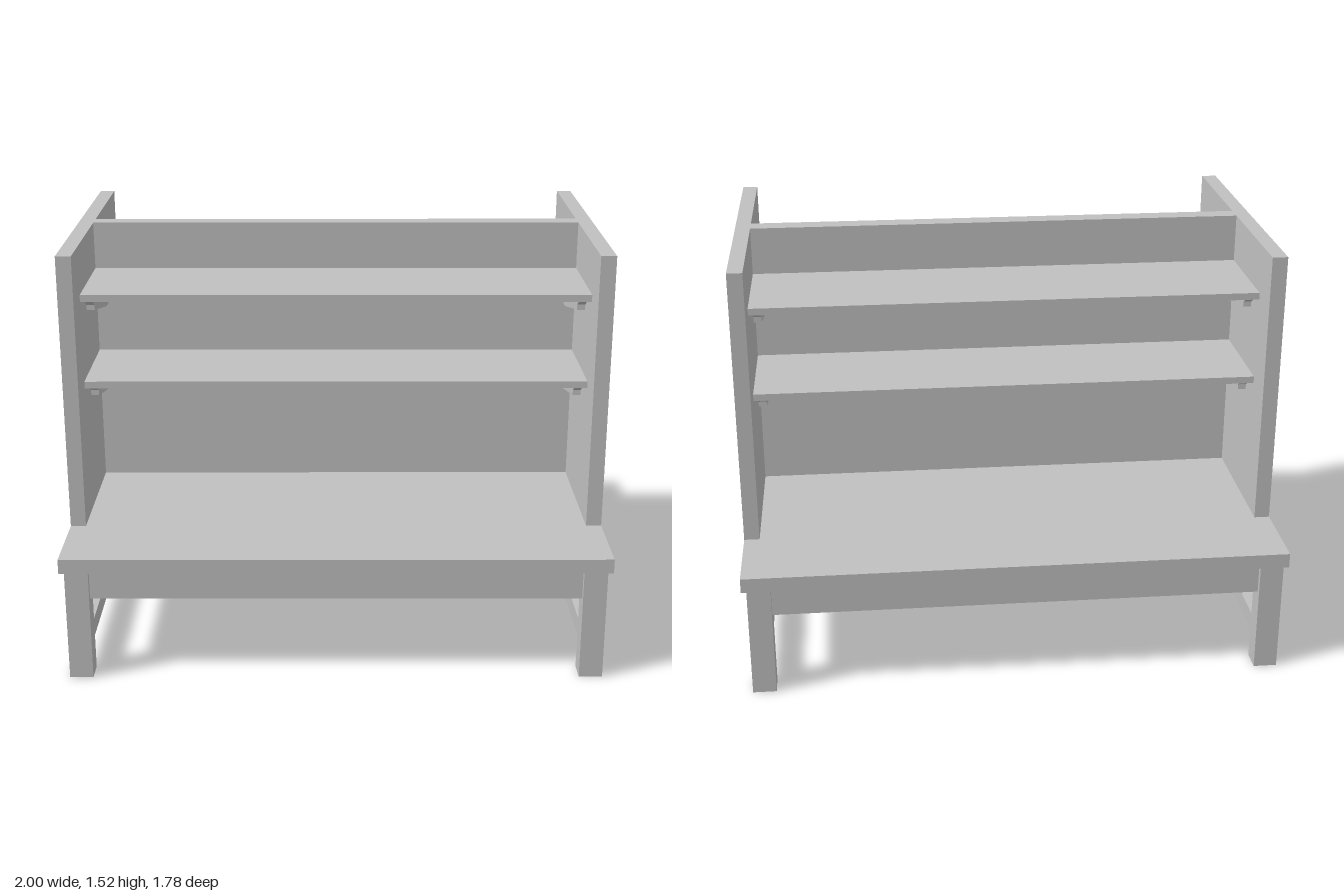
import * as THREE from 'three';

export function createModel() {
  const model = new THREE.Group();
  model.name = 'doubleSidedBench';
  const grey = new THREE.MeshStandardMaterial({ color: 0xc0c0c0 });
  grey.name = 'plain grey';

  // box given by its min and max on each axis
  function box(parent, name, x0, x1, y0, y1, z0, z1) {
    const mesh = new THREE.Mesh(new THREE.BoxGeometry(x1 - x0, y1 - y0, z1 - z0), grey);
    mesh.position.set((x0 + x1) / 2, (y0 + y1) / 2, (z0 + z1) / 2);
    mesh.name = name;
    parent.add(mesh);
  }

  // worktop, end panels and dividing panel
  box(model, 'worktop', -1, 1, 0.42, 0.475, -0.89, 0.89);
  box(model, 'leftEndPanel', 0.943, 1, 0.475, 1.517, -0.585, 0.585);
  box(model, 'rightEndPanel', -1, -0.943, 0.475, 1.517, -0.585, 0.585);
  box(model, 'dividingPanel', -0.943, 0.943, 0.475, 1.517, -0.035, 0.035);

  // side outline of a shelf bracket, drawn as (z, y below the shelf)
  const outline = new THREE.Shape([
    [0.035, 0], [0.43, 0], [0.39, -0.025], [0.39, -0.045], [0.09, -0.113], [0.035, -0.113],
  ].map(([z, y]) => new THREE.Vector2(z, y)));
  const bracketGeometry = new THREE.ExtrudeGeometry(outline, { depth: 0.03, bevelEnabled: false });
  bracketGeometry.translate(0, 0, -0.015).rotateY(-Math.PI / 2);

  // one half: table base and two shelves
  function half(name) {
    const group = new THREE.Group();
    group.name = name;
    box(group, 'apron', -0.955, 0.955, 0.31, 0.42, 0.04, 0.865);
    for (const side of [-1, 1]) {
      for (const z of [0.06, 0.844]) {
        box(group, 'leg', side * 0.938 - 0.043, side * 0.938 + 0.043, 0, 0.42, z - 0.041, z + 0.041);
      }
      box(group, 'stretcher', side * 0.938 - 0.025, side * 0.938 + 0.025, 0.075, 0.145, 0.1, 0.804);
    }
    for (const y of [0.975, 1.31]) {
      box(group, 'shelf', -0.943, 0.943, y, y + 0.026, 0.035, 0.443);
      box(group, 'shelfBatten', -0.943, 0.943, y - 0.027, y, 0.035, 0.06);
      for (const side of [-1, 1]) {
        const bracket = new THREE.Mesh(bracketGeometry, grey);
        bracket.name = 'shelfBracket';
        bracket.position.set(side * 0.913, y, 0);
        group.add(bracket);
      }
    }
    model.add(group);
    return group;
  }
  half('frontHalf');
  half('backHalf').rotation.y = Math.PI;

  return model;
}
